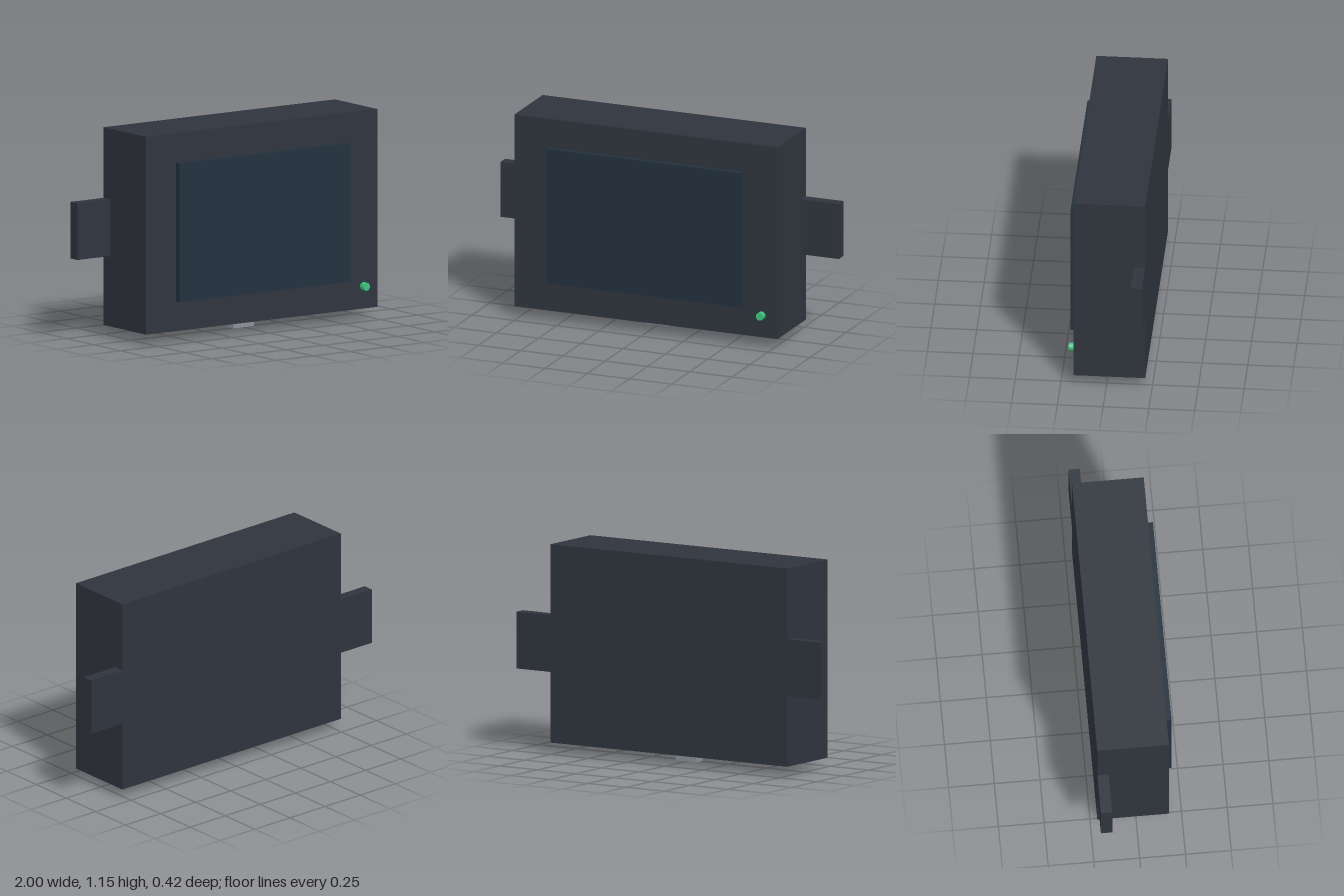
import * as THREE from 'three';

export function createModel() {
  const group = new THREE.Group();
  const paint = (color) => new THREE.MeshStandardMaterial({ color });
  const casing = paint(0x2f343d);

  // Box given by its extents along each axis
  const box = (name, [x0, x1], [y0, y1], [z0, z1], material) => {
    const mesh = new THREE.Mesh(new THREE.BoxGeometry(x1 - x0, y1 - y0, z1 - z0), material);
    mesh.position.set((x0 + x1) / 2, (y0 + y1) / 2, (z0 + z1) / 2);
    mesh.name = name;
    group.add(mesh);
  };

  // Casing and raised display
  box('housing', [-0.778, 0.778], [0.058, 1.15], [-0.212, 0.18], casing);
  box('screen', [-0.575, 0.575], [0.221, 0.986], [0.18, 0.212], paint(0x22303d));

  // Mounting tabs flush with the back
  box('leftMountingTab', [0.778, 1], [0.447, 0.76], [-0.212, -0.15], casing);
  box('rightMountingTab', [-1, -0.778], [0.447, 0.76], [-0.212, -0.15], casing);

  // Connector just below the casing
  box('connector', [-0.069, 0.069], [0, 0.048], [-0.046, 0.016], paint(0x8a909b));

  // Status light on the front
  const light = new THREE.Mesh(new THREE.CylinderGeometry(0.022, 0.022, 0.032, 24), paint(0x3cc47c));
  light.rotation.x = Math.PI / 2;
  light.position.set(0.684, 0.182, 0.196);
  light.name = 'statusLight';
  group.add(light);

  return group;
}
